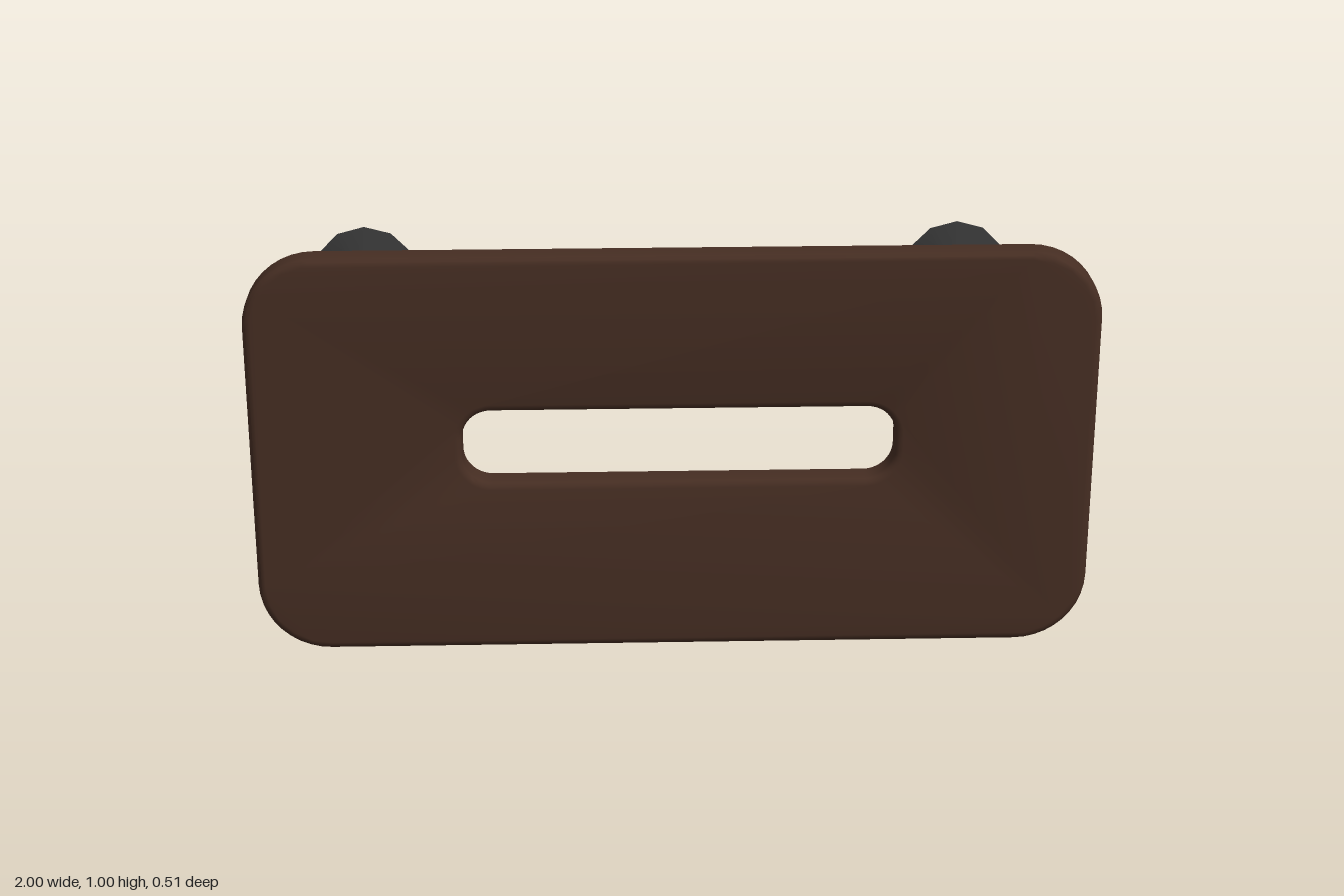
import * as THREE from 'three';
import { toCreasedNormals } from 'three/addons/utils/BufferGeometryUtils.js';

// Rounded rectangle traced into a Shape or Path
function roundedRect(path, x0, y0, x1, y1, r) {
  path.moveTo(x0 + r, y0);
  path.lineTo(x1 - r, y0);
  path.absarc(x1 - r, y0 + r, r, -Math.PI / 2, 0);
  path.lineTo(x1, y1 - r);
  path.absarc(x1 - r, y1 - r, r, 0, Math.PI / 2);
  path.lineTo(x0 + r, y1);
  path.absarc(x0 + r, y1 - r, r, Math.PI / 2, Math.PI);
  path.lineTo(x0, y0 + r);
  path.absarc(x0 + r, y0 + r, r, Math.PI, Math.PI * 1.5);
  return path;
}

function makeMaterial(name, color) {
  const material = new THREE.MeshStandardMaterial({ color });
  material.name = name;
  return material;
}

export function createModel() {
  const group = new THREE.Group();
  group.name = 'slottedPanel';
  const brown = makeMaterial('dark brown', 0x452d22);
  const grey = makeMaterial('light grey', 0x9c9c9c);
  const black = makeMaterial('charcoal', 0x363636);

  const add = (name, geometry, material, x = 0, y = 0, z = 0) => {
    const mesh = new THREE.Mesh(geometry, material);
    mesh.name = name;
    mesh.position.set(x, y, z);
    group.add(mesh);
  };

  // Panel: slotted plate with softened front edges and a flat back
  const backZ = 0.192, thickness = 0.062, bevel = 0.018;
  const outline = roundedRect(new THREE.Shape(), -1, 0, 1, 1, 0.17);
  outline.holes.push(roundedRect(new THREE.Path(), -0.5, 0.435, 0.525, 0.617, 0.07));
  const plate = new THREE.ExtrudeGeometry(outline, {
    depth: thickness - bevel, curveSegments: 5,
    bevelThickness: bevel, bevelSize: bevel, bevelOffset: -bevel, bevelSegments: 3,
  });
  // Flatten the rear bevel into the back plane
  const pos = plate.attributes.position;
  for (let i = 0; i < pos.count; i++) pos.setZ(i, Math.max(0, pos.getZ(i)));
  add('panel', toCreasedNormals(plate, 0.7), brown, 0, 0, backZ);

  // Four posts with flared feet behind the panel
  const footZ = -0.222, footDepth = 0.032;
  const postLength = backZ - footZ;
  const post = new THREE.CylinderGeometry(0.047, 0.047, postLength, 20).rotateX(Math.PI / 2);
  const foot = new THREE.CylinderGeometry(0.047, 0.131, footDepth, 12).rotateX(Math.PI / 2);
  for (const x of [-0.752, 0.72]) {
    for (const y of [0.235, 0.777]) {
      add('post', post, grey, x, y, footZ + postLength / 2);
      add('foot', foot, black, x, y, footZ - footDepth / 2);
    }
  }
  return group;
}
